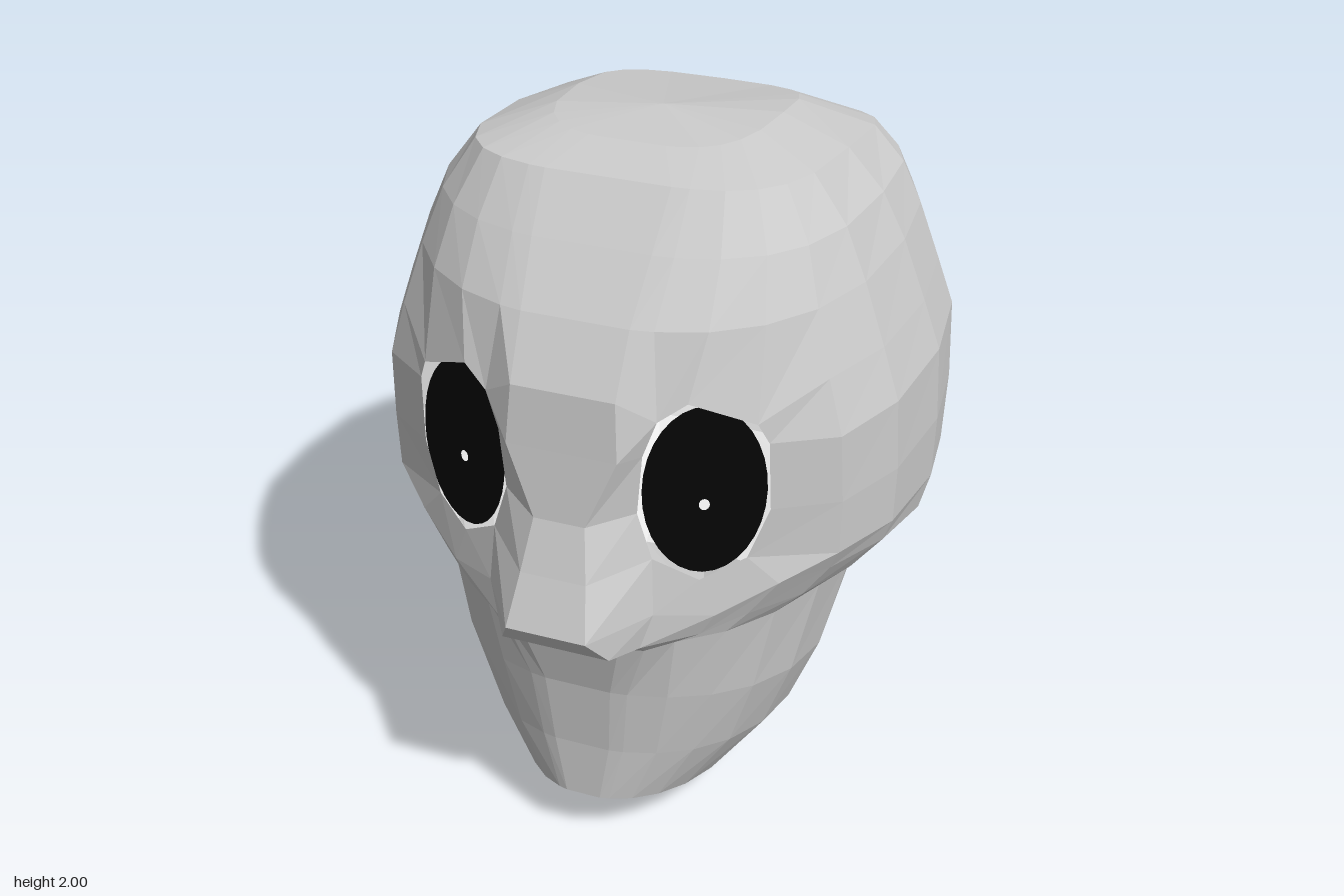
import * as THREE from 'three';

const skin = new THREE.MeshStandardMaterial({ color: 0xcccccc, flatShading: true });
skin.name = 'skinGrey';
const lining = new THREE.MeshStandardMaterial({ color: 0xe8e8e8, flatShading: true });
lining.name = 'liningPale';
const black = new THREE.MeshStandardMaterial({ color: 0x050505, side: THREE.DoubleSide });
black.name = 'eyeBlack';

// Cross-sections, bottom to top:
// front y, back y, front z, back z, half width, centre z, squareness, side arch
const ROWS = [
  [0.15, 0.04, 0.50, -0.02, 0.18, 0.24, 2, 0],     // neck opening
  [0.18, 0.00, 0.67, -0.20, 0.29, 0.22, 2.1, 0],   // neck rim
  [0.36, 0.15, 0.67, -0.33, 0.43, 0.12, 2.2, 0],   // jaw
  [0.58, 0.34, 0.69, -0.36, 0.51, 0.10, 2.2, 0],
  [0.77, 0.50, 0.72, -0.55, 0.57, 0.02, 2.2, 0.1],
  [0.83, 0.555, 0.71, -0.625, 0.65, -0.03, 2.2, 0.1], // ledge underside
  [0.92, 0.61, 0.71, -0.70, 0.73, -0.08, 2.2, 0.11],  // cheek ledge
  [1.00, 0.86, 0.73, -0.80, 0.755, -0.1, 2.3, 0.03],
  [1.16, 1.12, 0.735, -0.86, 0.76, -0.1, 2.3, 0],
  [1.35, 1.36, 0.755, -0.875, 0.75, -0.1, 2.3, 0],
  [1.51, 1.48, 0.735, -0.865, 0.70, -0.1, 2.3, 0],
  [1.67, 1.62, 0.645, -0.79, 0.635, -0.1, 2.5, 0.02],
  [1.82, 1.70, 0.53, -0.745, 0.57, -0.1, 2.9, 0.03],
  [1.955, 1.76, 0.415, -0.71, 0.47, -0.1, 3.6, 0.035], // crown edge
  [1.985, 1.90, 0.25, -0.45, 0.29, -0.1, 3.2, 0.03],
];

// Columns as angles from the front, mirrored to the other side
const HALF = [9, 14, 26, 40, 55, 72, 90, 108, 125, 142, 160];
const ANGLES = [...HALF, 180, ...HALF.map(a => -a).reverse()];
const N = ANGLES.length;

// Hand-placed points on one side: 'row,column' -> x, y, z
const SHAPED = {
  // nose
  '4,0': [0.14, 0.77, 0.73], '5,0': [0.15, 0.80, 0.82], '6,0': [0.11, 0.88, 0.88],
  '7,0': [0.09, 1.02, 0.82], '8,0': [0.07, 1.16, 0.77],
  // cheek beside the nose
  '4,1': [0.20, 0.76, 0.70], '5,1': [0.20, 0.79, 0.73], '6,1': [0.23, 0.89, 0.71],
  '5,2': [0.33, 0.80, 0.63], '6,2': [0.37, 0.87, 0.63], '6,3': [0.51, 0.94, 0.53],
  // rim of the eye opening
  '7,1': [0.22, 1.05, 0.69], '7,2': [0.33, 0.98, 0.64], '7,3': [0.435, 1.03, 0.57],
  '8,1': [0.18, 1.18, 0.69], '8,3': [0.485, 1.17, 0.54],
  '9,1': [0.195, 1.35, 0.69], '9,3': [0.48, 1.37, 0.55],
  '10,1': [0.23, 1.45, 0.68], '10,2': [0.30, 1.50, 0.65], '10,3': [0.455, 1.43, 0.57],
};

function pointAt(r, c) {
  const side = ANGLES[c] < 0 ? -1 : 1;
  const half = c < HALF.length ? c : N - 1 - c;
  const shaped = SHAPED[`${r},${half}`];
  if (shaped) return [side * shaped[0], shaped[1], shaped[2]];
  const [yF, yB, zF, zB, w, zc, n, arch] = ROWS[r];
  const a = THREE.MathUtils.degToRad(ANGLES[c]);
  const s = Math.abs(Math.sin(a)) ** (2 / n);
  const k = Math.abs(Math.cos(a)) ** (2 / n);
  const z = Math.cos(a) > 0 ? zc + (zF - zc) * k : zc - (zc - zB) * k;
  const t = (z - zB) / (zF - zB);
  const y = yB + (yF - yB) * t + arch * 4 * t * (1 - t);
  return [ANGLES[c] === 180 ? 0 : side * w * s, y, z];
}

// Shell with two eye openings and an open neck; inward reverses the faces
function shellGeometry(inward) {
  const pos = [], index = [];
  const tri = (a, b, c) => (inward ? index.push(a, c, b) : index.push(a, b, c));
  ROWS.forEach((_, r) => { for (let c = 0; c < N; c++) pos.push(...pointAt(r, c)); });
  for (let r = 0; r < ROWS.length - 1; r++) {
    for (let c = 0; c < N; c++) {
      const half = Math.min(c, N - 2 - c);
      if (r >= 7 && r <= 9 && (half === 1 || half === 2)) continue;
      const d = (c + 1) % N;
      const a = r * N + c, b = r * N + d, e = a + N, f = b + N;
      if (ANGLES[c] > 0) { tri(a, b, f); tri(a, f, e); }
      else { tri(a, b, e); tri(b, f, e); }
    }
  }
  // crown cap
  const top = ROWS.length - 1;
  pos.push(0, 2, 0.02);
  for (let c = 0; c < N; c++) tri(top * N + c, top * N + (c + 1) % N, ROWS.length * N);
  const g = new THREE.BufferGeometry();
  g.setAttribute('position', new THREE.Float32BufferAttribute(pos, 3));
  g.setIndex(index);
  const flat = g.toNonIndexed();
  flat.computeVertexNormals();
  return flat;
}

// Oval disc with a small pinhole below its middle
function eyeGeometry() {
  const oval = new THREE.Shape().absellipse(0, 0, 0.16, 0.24, 0, Math.PI * 2);
  oval.holes.push(new THREE.Path().absellipse(0, -0.04, 0.014, 0.016, 0, Math.PI * 2));
  return new THREE.ShapeGeometry(oval, 16);
}

export function createModel() {
  const group = new THREE.Group();
  group.name = 'head';

  const shell = new THREE.Mesh(shellGeometry(false), skin);
  shell.name = 'headShell';
  group.add(shell);

  // pale inside, set slightly within the shell
  const inner = new THREE.Mesh(shellGeometry(true).translate(0, -1, 0).scale(0.99, 0.99, 0.99).translate(0, 1, 0), lining);
  inner.name = 'innerLining';
  group.add(inner);

  // eye discs turned outward behind the openings
  for (const [name, x, turn] of [['leftEye', 0.325, 1], ['rightEye', -0.345, -1]]) {
    const eye = new THREE.Mesh(eyeGeometry(), black);
    eye.name = name;
    eye.position.set(x, 1.22, 0.59);
    eye.rotation.set(-0.06, turn * 0.42, 0);
    group.add(eye);
  }
  return group;
}
